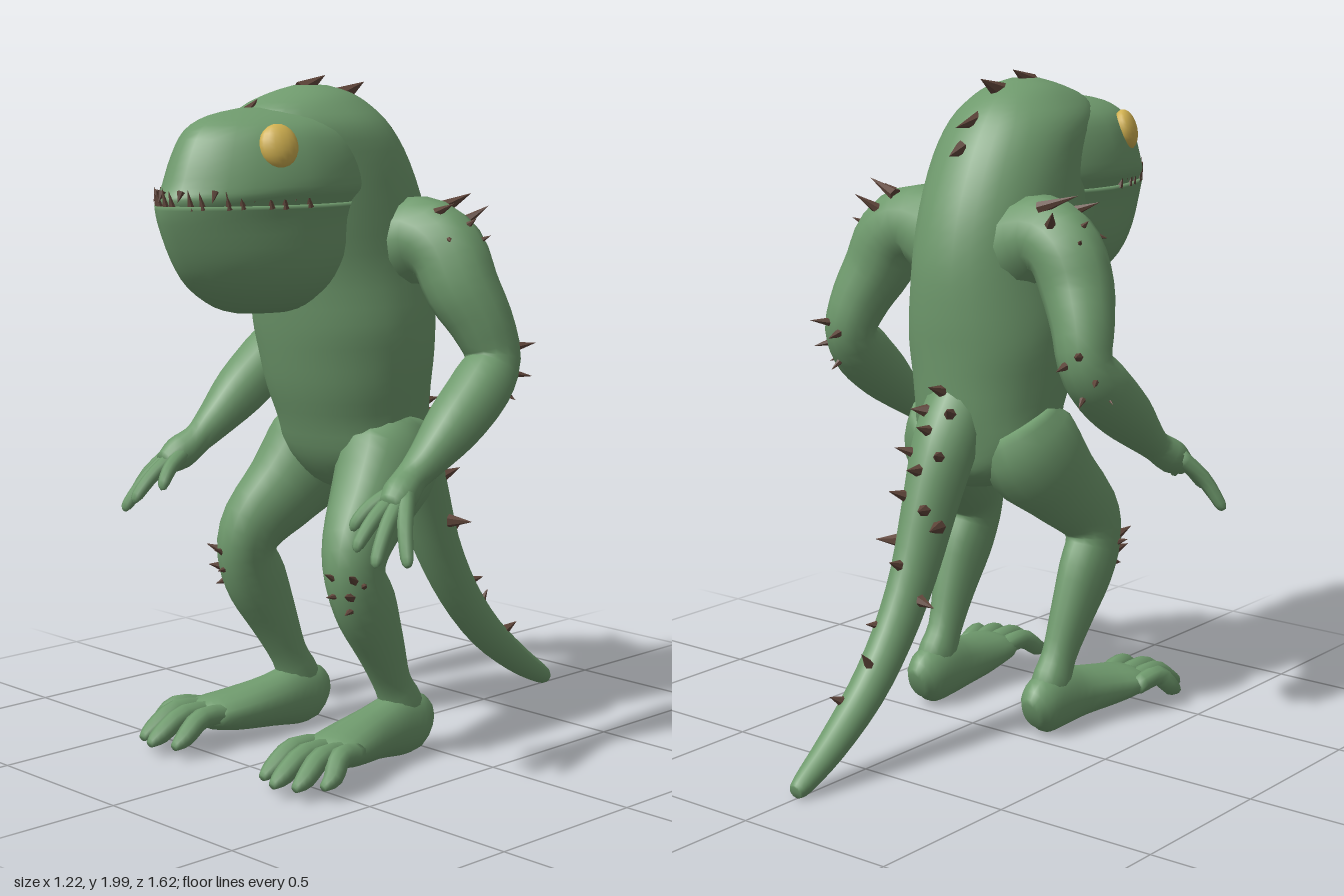
import * as THREE from 'three';

const material = (name, color) => Object.assign(new THREE.MeshStandardMaterial({ color }), { name });
const V = (x, y, z) => new THREE.Vector3(x, y, z);

// Resample rows of numbers smoothly (Catmull-Rom per column)
function smooth(rows, steps) {
  const out = [];
  for (let i = 0; i < rows.length - 1; i++) {
    const [a, b, c, d] = [-1, 0, 1, 2].map(k => rows[Math.min(rows.length - 1, Math.max(0, i + k))]);
    for (let s = 0; s < steps; s++) {
      const t = s / steps;
      out.push(b.map((_, j) => 0.5 * (2 * b[j] + (c[j] - a[j]) * t
        + (2 * a[j] - 5 * b[j] + 4 * c[j] - d[j]) * t * t
        + (3 * b[j] - a[j] - 3 * c[j] + d[j]) * t * t * t)));
    }
  }
  out.push(rows[rows.length - 1]);
  return out;
}

// Skin a list of rings, close both ends, and turn the faces outward
function skin(rings) {
  const n = rings[0].length, pts = rings.flat(), idx = [];
  for (let i = 0; i < rings.length - 1; i++) {
    for (let j = 0; j < n; j++) {
      const a = i * n + j, b = i * n + (j + 1) % n;
      idx.push(a, b, a + n, b, b + n, a + n);
    }
  }
  for (const end of [0, rings.length - 1]) {
    const mid = rings[end].reduce((m, p) => m.add(p), V(0, 0, 0)).divideScalar(n);
    const c = pts.push(mid) - 1;
    for (let j = 0; j < n; j++) {
      const a = end * n + j, b = end * n + (j + 1) % n;
      if (end) idx.push(a, b, c); else idx.push(b, a, c);
    }
  }
  let volume = 0;
  for (let i = 0; i < idx.length; i += 3) {
    volume += pts[idx[i]].dot(V(0, 0, 0).crossVectors(pts[idx[i + 1]], pts[idx[i + 2]]));
  }
  if (volume < 0) idx.reverse();
  const g = new THREE.BufferGeometry().setFromPoints(pts);
  g.setIndex(idx);
  g.computeVertexNormals();
  return g;
}

// Limb along rows [x, y, z, sideRadius, otherRadius]
function limb(rows, side = 1, ref = V(1, 0, 0), n = 14, steps = 3) {
  const r = smooth(rows, steps), c = r.map(q => V(q[0] * side, q[1], q[2]));
  return skin(r.map((q, i) => {
    const t = c[Math.min(i + 1, c.length - 1)].clone().sub(c[Math.max(i - 1, 0)]).normalize();
    const u = ref.clone().addScaledVector(t, -ref.dot(t)).normalize();
    const v = V(0, 0, 0).crossVectors(t, u);
    return Array.from({ length: n }, (_, j) => {
      const a = j / n * Math.PI * 2;
      return c[i].clone().addScaledVector(u, Math.cos(a) * q[3]).addScaledVector(v, Math.sin(a) * (q[4] ?? q[3]));
    });
  }));
}

// Horizontal outline point; front half takes exponent p (lower is more pointed)
function outline([y, back, mid, front, w], a, p) {
  const s = Math.sin(a), c = Math.cos(a), e = s > 0 ? 2 / p : 1;
  return V(w * Math.sign(c) * Math.abs(c) ** e, y, mid + (s > 0 ? (front - mid) * s ** e : (mid - back) * s));
}

// Body from rows [y, backZ, middleZ, frontZ, halfWidth]
function stack(rows, p = 2, n = 28, steps = 3) {
  return skin(smooth(rows, steps).map(q =>
    Array.from({ length: n }, (_, j) => outline(q, j / n * Math.PI * 2, p))));
}

export function createModel() {
  const skinMat = material('green skin', 0x6f9a6d);
  const hornMat = material('brown horn', 0x5f453a);
  const eyeMat = material('yellow eye', 0xd0b050);
  const model = new THREE.Group();
  const add = (name, geometry, mat = skinMat, parent = model) => {
    const m = new THREE.Mesh(geometry, mat);
    m.name = name;
    parent.add(m);
    return m;
  };
  const group = name => {
    const g = new THREE.Group();
    g.name = name;
    model.add(g);
    return g;
  };
  // Faceted thorn from base to tip
  const spike = (parent, name, base, tip, r, flat = 1) => {
    const b = V(...base), d = V(...tip).sub(b), len = d.length();
    const g = new THREE.ConeGeometry(r, len * 1.2, 6).translate(0, len * 0.4, 0).toNonIndexed();
    g.computeVertexNormals();
    const m = add(name, g, hornMat, parent);
    m.quaternion.setFromUnitVectors(V(0, 1, 0), d.normalize());
    m.position.copy(b);
    m.scale.x = flat;
  };

  // Torso with hunched back
  add('torso', stack([
    [0.77, -0.03, 0.04, 0.1, 0.06], [0.82, -0.1, 0.05, 0.2, 0.16], [0.9, -0.12, 0.07, 0.265, 0.22],
    [1.0, -0.14, 0.08, 0.305, 0.225], [1.1, -0.15, 0.1, 0.345, 0.24], [1.2, -0.16, 0.1, 0.375, 0.25],
    [1.3, -0.17, 0.12, 0.4, 0.25], [1.45, -0.172, 0.12, 0.43, 0.23], [1.6, -0.14, 0.14, 0.46, 0.225],
    [1.75, -0.075, 0.18, 0.47, 0.215], [1.85, -0.01, 0.23, 0.5, 0.195], [1.91, 0.05, 0.25, 0.48, 0.15],
    [1.95, 0.12, 0.25, 0.38, 0.1], [1.972, 0.2, 0.25, 0.3, 0.04],
  ]));

  // Head above and jaw below the mouth line
  add('head', stack([
    [1.63, 0.05, 0.4, 0.775, 0.205], [1.665, 0.05, 0.4, 0.79, 0.222], [1.7, 0.05, 0.4, 0.77, 0.233],
    [1.78, 0.05, 0.4, 0.738, 0.218], [1.85, 0.05, 0.4, 0.695, 0.185], [1.89, 0.1, 0.38, 0.62, 0.13],
    [1.912, 0.2, 0.36, 0.5, 0.06],
  ], 1.7));
  const lip = [1.65, 0.1, 0.4, 0.81, 0.222];
  add('lowerJaw', stack([
    [1.338, 0.3, 0.42, 0.53, 0.06], [1.36, 0.24, 0.4, 0.61, 0.115], [1.42, 0.15, 0.4, 0.7, 0.172],
    [1.5, 0.1, 0.4, 0.757, 0.202], [1.6, 0.1, 0.4, 0.8, 0.212], lip,
  ], 1.6));

  // Teeth around the lip
  const teeth = group('teeth');
  for (let i = 0; i < 27; i++) {
    const a = Math.PI * (0.07 + 0.86 * i / 26), p = outline(lip, a, 1.6);
    const up = i % 3 === 1 ? -0.025 : 0.035 + 0.02 * ((i * 7) % 5) / 5;
    const x = p.x * 0.985, z = p.z - 0.012, y = up < 0 ? 1.685 : 1.65;
    spike(teeth, 'tooth', [x, y, z], [x * 1.02, y + up, z + 0.012], 0.011);
  }

  // Tail
  add('tail', limb([
    [0, 1.06, -0.05, 0.1, 0.09], [0, 0.92, -0.13, 0.1, 0.1], [0, 0.75, -0.2, 0.08, 0.092],
    [0, 0.55, -0.28, 0.066, 0.077], [0, 0.38, -0.38, 0.06, 0.066], [0, 0.24, -0.5, 0.056, 0.058],
    [0, 0.12, -0.65, 0.046, 0.046], [0, 0.045, -0.77, 0.032, 0.032], [0, 0.03, -0.8, 0.02, 0.02],
  ]));

  for (const s of [1, -1]) {
    const pre = s > 0 ? 'left' : 'right';
    // Eye
    const eye = add(pre + 'Eye', new THREE.SphereGeometry(1, 18, 12), eyeMat);
    eye.position.set(0.176 * s, 1.81, 0.53);
    eye.scale.set(0.033, 0.062, 0.056);
    eye.rotation.set(0, -0.4 * s, 0.25 * s);

    // Arm and hand
    add(pre + 'Arm', limb([
      [0.12, 1.5, 0.05, 0.15], [0.24, 1.54, 0.035, 0.118], [0.325, 1.5, 0.02, 0.112],
      [0.375, 1.4, 0.01, 0.107], [0.42, 1.3, -0.025, 0.092], [0.445, 1.2, -0.045, 0.08],
      [0.455, 1.12, 0.02, 0.09], [0.46, 1.03, 0.13, 0.083], [0.46, 0.95, 0.23, 0.06],
      [0.46, 0.9, 0.3, 0.047], [0.475, 0.86, 0.36, 0.052], [0.485, 0.83, 0.41, 0.035],
    ], s, V(0, 0, 1)));
    for (const [x, y, z] of [[0.605, 0.695, 0.455], [0.545, 0.695, 0.515], [0.48, 0.73, 0.525], [0.41, 0.77, 0.475]]) {
      const bx = 0.475 + (x - 0.5) * 0.25;
      add(pre + 'Finger', limb([
        [bx, 0.865, 0.36, 0.026], [(bx + x) / 2, (0.865 + y) / 2 + 0.015, (0.36 + z) / 2 + 0.01, 0.022],
        [x - (x - bx) * 0.12, y + 0.02, z - 0.005, 0.018], [x, y, z, 0.008],
      ], s, V(1, 0, 0), 8));
    }

    // Leg
    add(pre + 'Leg', limb([
      [0.12, 0.97, 0.05, 0.12, 0.13], [0.155, 0.88, 0.09, 0.135, 0.17], [0.185, 0.77, 0.19, 0.115, 0.135],
      [0.22, 0.67, 0.28, 0.092, 0.11], [0.235, 0.58, 0.3, 0.078, 0.097], [0.237, 0.48, 0.255, 0.072, 0.102],
      [0.232, 0.36, 0.195, 0.06, 0.08], [0.225, 0.24, 0.14, 0.05, 0.06], [0.225, 0.16, 0.1, 0.056, 0.07],
      [0.225, 0.09, 0.07, 0.04, 0.05],
    ], s, V(1, 0, 0), 16));

    // Foot and toes
    add(pre + 'Foot', limb([
      [0.225, 0.085, 0, 0.03, 0.045], [0.225, 0.1, 0.04, 0.063, 0.085], [0.225, 0.11, 0.12, 0.072, 0.097],
      [0.232, 0.105, 0.22, 0.078, 0.08], [0.25, 0.1, 0.34, 0.092, 0.064], [0.27, 0.1, 0.43, 0.098, 0.047],
      [0.275, 0.095, 0.47, 0.07, 0.025],
    ], s));
    for (const [x, z] of [[0.195, 0.625], [0.27, 0.655], [0.335, 0.63], [0.38, 0.565]]) {
      const bx = 0.27 + (x - 0.28) * 0.7;
      add(pre + 'Toe', limb([
        [bx, 0.1, 0.39, 0.03], [(bx + x) / 2, 0.115, (0.39 + z) / 2, 0.032],
        [x, 0.07, z - 0.04, 0.028], [x, 0.05, z, 0.012],
      ], s, V(1, 0, 0), 8));
    }

    // Shoulder, elbow and knee thorns: [base, tip, radius]
    const thorns = group(pre + 'Thorns');
    for (const [b, t, r] of [
      [[0.29, 1.635, -0.03], [0.39, 1.67, -0.01], 0.02], [[0.31, 1.61, 0.06], [0.405, 1.645, 0.075], 0.022],
      [[0.33, 1.59, -0.06], [0.37, 1.63, -0.105], 0.018], [[0.38, 1.57, 0.01], [0.42, 1.6, 0], 0.018],
      [[0.37, 1.55, 0.07], [0.415, 1.54, 0.1], 0.022], [[0.4, 1.53, -0.02], [0.43, 1.55, -0.05], 0.015],
      [[0.47, 1.23, -0.11], [0.5, 1.24, -0.17], 0.018], [[0.43, 1.2, -0.12], [0.43, 1.19, -0.165], 0.016],
      [[0.5, 1.16, -0.07], [0.53, 1.15, -0.12], 0.016], [[0.46, 1.11, -0.07], [0.47, 1.08, -0.11], 0.016],
      [[0.5, 1.11, -0.02], [0.54, 1.09, -0.04], 0.013],
      [[0.24, 0.59, 0.385], [0.24, 0.61, 0.425], 0.015], [[0.29, 0.59, 0.36], [0.31, 0.61, 0.395], 0.016],
      [[0.24, 0.54, 0.375], [0.235, 0.54, 0.415], 0.016], [[0.28, 0.54, 0.36], [0.295, 0.55, 0.4], 0.018],
      [[0.27, 0.5, 0.345], [0.28, 0.49, 0.385], 0.018], [[0.3, 0.57, 0.33], [0.33, 0.58, 0.35], 0.014],
    ]) {
      spike(thorns, 'thorn', [b[0] * s, b[1], b[2]], [t[0] * s, t[1], t[2]], r);
    }
  }

  // Crest from brow to upper back: [baseY, baseZ, tipY, tipZ, radius]
  const crest = group('crest');
  for (const [y, z, ty, tz, r] of [
    [1.905, 0.48, 1.935, 0.45, 0.02], [1.96, 0.27, 2.0, 0.19, 0.032], [1.935, 0.13, 1.98, 0.035, 0.038],
    [1.865, 0.04, 1.845, -0.08, 0.034], [1.78, -0.06, 1.765, -0.11, 0.026],
  ]) spike(crest, 'crestSpike', [0, y, z], [0, ty, tz], r, 0.75);

  // Tail thorns: [x, baseY, baseZ, tipX, tipY, tipZ]
  const tailThorns = group('tailThorns');
  for (const [x, y, z, tx, ty, tz] of [
    [0, 1.08, -0.15, 0, 1.1, -0.21], [0, 0.97, -0.21, 0, 0.99, -0.265], [0.04, 1.02, -0.18, 0.06, 1.03, -0.22],
    [-0.05, 1.02, -0.17, -0.07, 1.04, -0.21], [0.05, 0.9, -0.22, 0.08, 0.92, -0.27],
    [-0.05, 0.9, -0.22, -0.08, 0.92, -0.28], [0, 0.86, -0.26, 0, 0.87, -0.31],
    [0.04, 0.78, -0.27, 0.06, 0.8, -0.32], [-0.04, 0.75, -0.28, -0.06, 0.76, -0.33],
    [0.075, 0.64, -0.27, 0.13, 0.64, -0.3], [-0.075, 0.7, -0.26, -0.11, 0.71, -0.34],
    [-0.06, 0.49, -0.32, -0.12, 0.48, -0.33], [0, 0.59, -0.34, 0, 0.61, -0.39],
    [0.02, 0.42, -0.4, 0.04, 0.43, -0.45], [-0.01, 0.32, -0.485, -0.01, 0.37, -0.525],
    [0.02, 0.23, -0.57, 0.035, 0.255, -0.615],
  ]) spike(tailThorns, 'tailThorn', [x, y, z], [tx, ty, tz], 0.022);

  return model;
}
